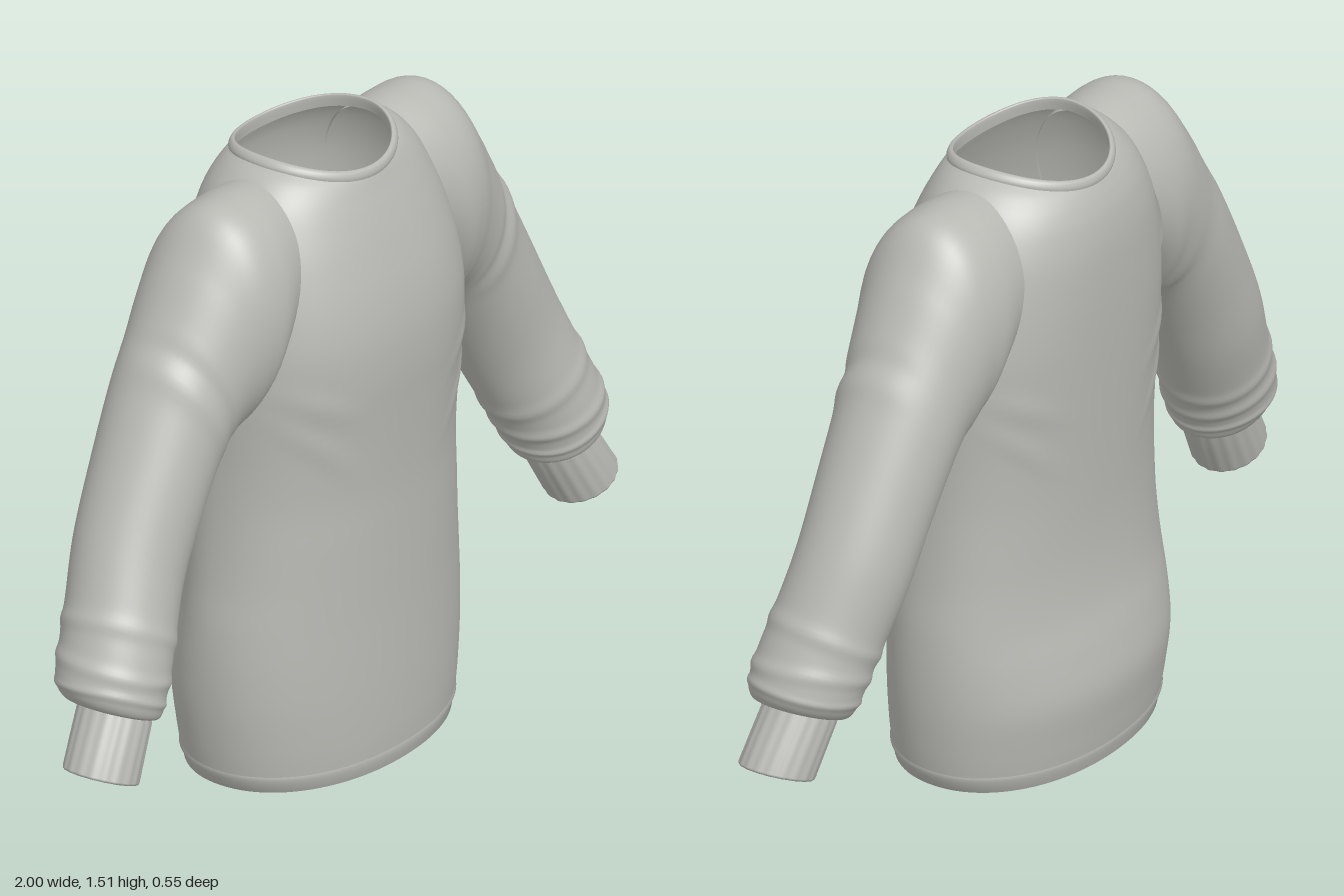
import * as THREE from 'three';

// Smoothly interpolate a table of section parameters into many rows
function smoothRows(rows, steps) {
  const out = [];
  const last = rows.length - 1;
  for (let i = 0; i <= last * steps; i++) {
    const k = Math.min(Math.floor(i / steps), last - 1);
    const t = i / steps - k;
    const at = (j) => rows[Math.max(0, Math.min(last, j))];
    out.push(rows[0].map((_, c) => {
      const p0 = at(k - 1)[c], p1 = at(k)[c], p2 = at(k + 1)[c], p3 = at(k + 2)[c];
      return p1 + 0.5 * t * (p2 - p0 + t * (2 * p0 - 5 * p1 + 4 * p2 - p3 + t * (3 * (p1 - p2) + p3 - p0)));
    }));
  }
  return out;
}

// Skin closed rings; point(row, angle, v) gives [x, y, z]
function loft(rows, segs, point, flip) {
  const pos = [], idx = [];
  rows.forEach((row, r) => {
    for (let s = 0; s < segs; s++) pos.push(...point(row, (s / segs) * Math.PI * 2, r / (rows.length - 1)));
  });
  for (let r = 0; r < rows.length - 1; r++) {
    for (let s = 0; s < segs; s++) {
      const a = r * segs + s, b = r * segs + ((s + 1) % segs), c = a + segs, d = b + segs;
      if (flip) idx.push(a, b, c, b, d, c);
      else idx.push(a, c, b, b, c, d);
    }
  }
  const g = new THREE.BufferGeometry();
  g.setAttribute('position', new THREE.Float32BufferAttribute(pos, 3));
  g.setIndex(idx);
  g.computeVertexNormals();
  return g;
}

const bump = (x, centre, width) => Math.exp(-(((x - centre) / width) ** 2));

// Body section: [y, half width, front z, back z, side lift, squareness]
function bodyPoint([y, w, front, back, lift, n], a) {
  const c = Math.cos(a), s = Math.sin(a);
  const x = w * Math.sign(c) * Math.abs(c) ** (2 / n);
  let z = (s > 0 ? front : back) * Math.sign(s) * Math.abs(s) ** (2 / n);
  // soft creases running from the armpits into the chest and back
  const ax = Math.abs(x);
  const crease = bump(y - 0.55 * ax, 0.82, 0.022) + bump(y - 0.9 * ax, 0.62, 0.02);
  z += Math.sign(s) * 0.006 * crease * bump(ax, 0.27, 0.08);
  return [x, y + lift * c * c, z];
}

// Sleeve section: [outer x, outer y, inner x, inner y, centre z, half depth]
function sleevePoint(side, swell) {
  return ([ax, ay, bx, by, zc, zh], a, v) => {
    const k = 1 + swell(a, v), c = Math.cos(a) * k, s = Math.sin(a) * k;
    return [
      side * ((ax + bx) / 2 + ((ax - bx) / 2) * c),
      (ay + by) / 2 + ((ay - by) / 2) * c,
      zc + zh * s,
    ];
  };
}

export function createModel() {
  const model = new THREE.Group();
  model.name = 'sweater';
  const knit = new THREE.MeshStandardMaterial({ color: 0xb9b9b4, side: THREE.DoubleSide });
  knit.name = 'grey knit';

  const add = (name, geometry) => {
    const mesh = new THREE.Mesh(geometry, knit);
    mesh.name = name;
    model.add(mesh);
  };

  // Torso, from the hem up to the collar seam
  const torso = [
    [0.035, 0.382, 0.253, 0.252, 0, 2.1],
    [0.1, 0.392, 0.256, 0.262, 0, 2.1],
    [0.2, 0.402, 0.257, 0.273, 0, 2.1],
    [0.3, 0.404, 0.256, 0.258, 0, 2.1],
    [0.4, 0.399, 0.255, 0.236, 0, 2.1],
    [0.5, 0.387, 0.255, 0.224, 0, 2.15],
    [0.6, 0.378, 0.255, 0.22, 0, 2.2],
    [0.7, 0.372, 0.256, 0.222, 0, 2.2],
    [0.8, 0.37, 0.261, 0.226, 0, 2.25],
    [0.9, 0.372, 0.268, 0.231, 0, 2.3],
    [1.0, 0.374, 0.275, 0.236, 0, 2.35],
    [1.1, 0.37, 0.273, 0.24, 0, 2.4],
    [1.2, 0.355, 0.256, 0.242, 0, 2.4],
    [1.3, 0.332, 0.226, 0.24, 0, 2.35],
    [1.37, 0.305, 0.2, 0.23, 0.005, 2.25],
    [1.41, 0.275, 0.183, 0.217, 0.02, 2.15],
    [1.435, 0.235, 0.173, 0.205, 0.035, 2.05],
    [1.447, 0.2, 0.168, 0.198, 0.042, 2],
  ];
  add('torso', loft(smoothRows(torso, 5), 96, bodyPoint, false));

  // Hem band with its turned-in edge
  const hem = [
    [0.05, 0.355, 0.235, 0.235, 0, 2.1],
    [0.004, 0.354, 0.236, 0.236, 0, 2.1],
    [0, 0.362, 0.244, 0.242, 0, 2.1],
    [0.002, 0.371, 0.25, 0.247, 0, 2.1],
    [0.022, 0.377, 0.251, 0.249, 0, 2.1],
    [0.035, 0.385, 0.256, 0.255, 0, 2.1],
    [0.045, 0.384, 0.252, 0.253, 0, 2.1],
  ];
  add('hemBand', loft(hem, 96, bodyPoint, false));

  // Collar, dipping at front and back
  const collar = [
    [1.442, 0.2, 0.169, 0.199, 0.042, 2],
    [1.452, 0.2, 0.171, 0.201, 0.042, 2],
    [1.463, 0.193, 0.168, 0.198, 0.04, 2],
    [1.467, 0.186, 0.162, 0.193, 0.039, 2],
    [1.464, 0.181, 0.157, 0.188, 0.039, 2],
    [1.435, 0.186, 0.158, 0.19, 0.04, 2],
  ];
  add('collar', loft(smoothRows(collar, 3), 72, bodyPoint, false));

  // Sleeves, fanning around the armpit and then running down to the wrist
  const sleeve = [
    [0.21, 1.465, 0.35, 1.0, -0.01, 0.165],
    [0.32, 1.473, 0.378, 0.95, -0.005, 0.182],
    [0.42, 1.457, 0.393, 0.925, -0.005, 0.178],
    [0.5, 1.36, 0.41, 0.915, -0.01, 0.166],
    [0.57, 1.25, 0.435, 0.905, -0.012, 0.155],
    [0.64, 1.14, 0.475, 0.86, -0.015, 0.147],
    [0.73, 0.98, 0.535, 0.765, -0.012, 0.14],
    [0.82, 0.81, 0.605, 0.635, -0.005, 0.134],
    [0.885, 0.67, 0.66, 0.53, 0.015, 0.132],
    [0.93, 0.575, 0.7, 0.455, 0.03, 0.132],
    [0.96, 0.5, 0.727, 0.405, 0.038, 0.128],
    [0.95, 0.455, 0.745, 0.372, 0.045, 0.113],
    [0.912, 0.432, 0.772, 0.372, 0.05, 0.086],
  ];
  const folds = (a, v) =>
    0.035 * bump(v + 0.012 * Math.sin(a), 0.69, 0.014) +
    0.04 * bump(v - 0.012 * Math.sin(a + 1), 0.77, 0.016) +
    0.035 * bump(v + 0.008 * Math.sin(2 * a), 0.84, 0.014) +
    0.035 * bump(v, 0.41, 0.016) * Math.max(0, Math.sin(a + 0.7)) -
    0.03 * bump(v, 0.37, 0.016) * Math.max(0, Math.sin(a + 0.7));

  // Ribbed cuffs with a turned-in edge
  const cuff = [
    [0.912, 0.44, 0.765, 0.378, 0.048, 0.084],
    [0.922, 0.425, 0.768, 0.36, 0.05, 0.087],
    [0.96, 0.368, 0.8, 0.3, 0.057, 0.087],
    [0.997, 0.31, 0.832, 0.241, 0.064, 0.087],
    [0.997, 0.304, 0.836, 0.237, 0.064, 0.085],
    [0.988, 0.303, 0.844, 0.243, 0.064, 0.076],
    [0.95, 0.365, 0.81, 0.305, 0.057, 0.075],
    [0.91, 0.425, 0.778, 0.37, 0.05, 0.07],
  ];
  const ribs = (a) => 0.012 * Math.cos(18 * a);

  for (const [side, label] of [[1, 'left'], [-1, 'right']]) {
    add(label + 'Sleeve', loft(smoothRows(sleeve, 10), 56, sleevePoint(side, folds), side > 0));
    add(label + 'Cuff', loft(cuff, 108, sleevePoint(side, ribs), side > 0));
  }
  return model;
}
